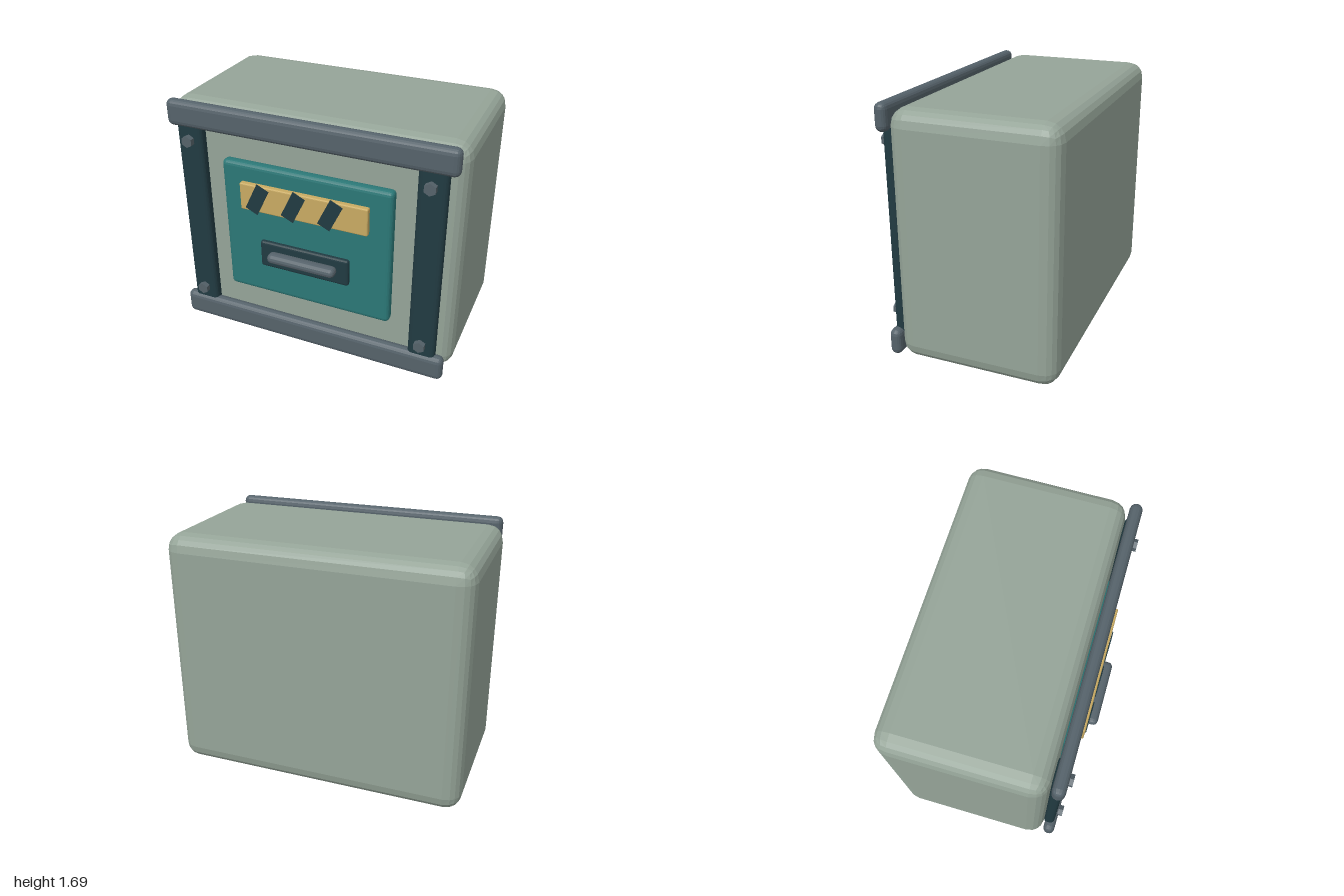
import * as THREE from 'three';
import { RoundedBoxGeometry } from 'three/addons/geometries/RoundedBoxGeometry.js';

const material = (name, color) => {
  const m = new THREE.MeshStandardMaterial({ color, flatShading: true });
  m.name = name;
  return m;
};

export function createModel() {
  const sage = material('sage', 0x95a498);
  const slate = material('slate', 0x55626a);
  const navy = material('dark navy', 0x213a41);
  const teal = material('teal', 0x2b7776);
  const yellow = material('warning yellow', 0xc8aa62);

  const model = new THREE.Group();
  model.name = 'safeBox';

  const add = (name, geometry, mat, x, y, z) => {
    const mesh = new THREE.Mesh(geometry, mat);
    mesh.name = name;
    mesh.position.set(x, y, z);
    model.add(mesh);
    return mesh;
  };
  // Rounded block given by its limits on each axis
  const block = (name, mat, [x0, x1], [y0, y1], [z0, z1], radius) =>
    add(name, new RoundedBoxGeometry(x1 - x0, y1 - y0, z1 - z0, 2, radius), mat,
      (x0 + x1) / 2, (y0 + y1) / 2, (z0 + z1) / 2);

  // Main case
  block('body', sage, [-1, 1], [0.02, 1.67], [-0.625, 0.44], 0.11);

  // Front frame: two rails and two posts
  block('bottomRail', slate, [-0.97, 0.97], [0.005, 0.185], [0.45, 0.532], 0.04);
  block('topRail', slate, [-0.97, 0.97], [1.51, 1.69], [0.45, 0.532], 0.04);
  for (const [side, s] of [['left', 1], ['right', -1]]) {
    const x = s * 0.815;
    block(side + 'Post', navy, [x - 0.093, x + 0.093], [0.1, 1.6], [0.44, 0.515], 0.03);
    // Hexagonal bolt heads
    for (const y of [0.27, 1.43]) {
      const bolt = new THREE.CylinderGeometry(0.041, 0.041, 0.035, 6).rotateX(Math.PI / 2);
      add(side + 'Bolt', bolt, slate, s * 0.812, y, 0.541);
    }
  }

  // Door with its warning label
  block('door', teal, [-0.588, 0.585], [0.363, 1.332], [0.435, 0.515], 0.03);
  block('label', yellow, [-0.445, 0.44], [1.018, 1.21], [0.51, 0.552], 0.01);
  for (const x of [-0.317, -0.062, 0.192]) {
    const stripe = add('labelStripe', new THREE.BoxGeometry(0.092, 0.204, 0.006), navy, x, 1.115, 0.557);
    stripe.rotation.z = -0.45;
  }

  // Handle plate and grip
  block('handlePlate', navy, [-0.318, 0.315], [0.605, 0.8], [0.512, 0.552], 0.018);
  block('handleGrip', slate, [-0.243, 0.24], [0.68, 0.748], [0.54, 0.624], 0.033);

  return model;
}
